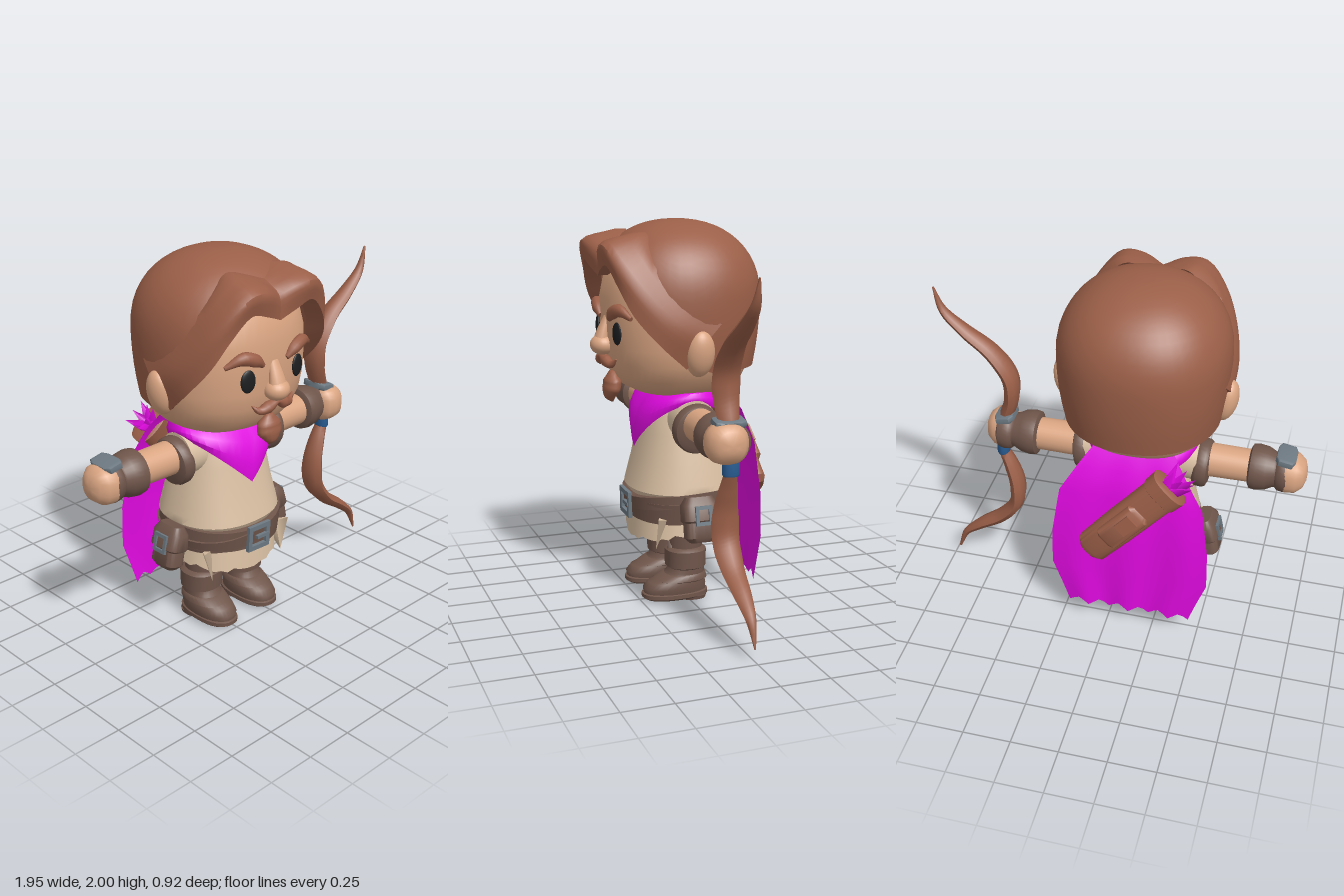
import * as THREE from 'three';
import { toCreasedNormals } from 'three/addons/utils/BufferGeometryUtils.js';

const V = (x, y, z) => new THREE.Vector3(x, y, z);
const mat = (name, color, side = THREE.FrontSide) => {
  const m = new THREE.MeshStandardMaterial({ color, side });
  m.name = name;
  return m;
};
const { sin, cos, abs, sign, pow, PI, max, min } = Math;

// Joins rings of points into a skin; rings run along T with points turning e1 -> e2, e1 x e2 = T
function loft(rings, { closed = true, caps = true, crease = 0.7 } = {}) {
  const n = rings[0].length, pos = [], idx = [];
  rings.flat().forEach(p => pos.push(p.x, p.y, p.z));
  for (let i = 0; i < rings.length - 1; i++)
    for (let j = 0; j < (closed ? n : n - 1); j++) {
      const a = i * n + j, b = i * n + (j + 1) % n;
      idx.push(a, b, b + n, a, b + n, a + n);
    }
  if (closed && caps) [0, rings.length - 1].forEach((r, k) => {
    const c = rings[r].reduce((s, p) => s.add(p), V(0, 0, 0)).divideScalar(n);
    const ci = pos.push(c.x, c.y, c.z) / 3 - 1;
    for (let j = 0; j < n; j++) {
      const a = r * n + j, b = r * n + (j + 1) % n;
      k ? idx.push(ci, a, b) : idx.push(ci, b, a);
    }
  });
  const g = new THREE.BufferGeometry();
  g.setAttribute('position', new THREE.Float32BufferAttribute(pos, 3));
  g.setIndex(idx);
  return toCreasedNormals(g, crease);
}

// Superellipse direction (x, z) at angle a from +z
const dir = (a, n) => [sign(sin(a)) * pow(abs(sin(a)), 2 / n), sign(cos(a)) * pow(abs(cos(a)), 2 / n)];

// Stack of horizontal rings: rows of [y, rx, rz, z offset]
function stack(rows, n = 2, seg = 32, opts) {
  return loft(rows.map(([y, rx, rz = rx, z0 = 0]) => Array.from({ length: seg }, (_, j) => {
    const [x, z] = dir(j / seg * 2 * PI, n);
    return V(x * rx, y, z * rz + z0);
  })), opts);
}

// Elliptical sweep along a curve; widths are [along ref, across ref] pairs spread over its length
function sweep(points, widths, ref, steps = 24, seg = 10) {
  const curve = new THREE.CatmullRomCurve3(points.map(p => V(...p)));
  const rings = [];
  for (let i = 0; i <= steps; i++) {
    const t = i / steps, T = curve.getTangent(t), f = t * (widths.length - 1);
    const k = min(widths.length - 2, Math.floor(f)), u = f - k;
    const [w1, w2] = [0, 1].map(q => widths[k][q] * (1 - u) + widths[k + 1][q] * u);
    const e1 = ref.clone().addScaledVector(T, -ref.dot(T)).normalize(), e2 = T.clone().cross(e1);
    rings.push(Array.from({ length: seg }, (_, j) => curve.getPoint(t)
      .addScaledVector(e1, w1 * cos(j / seg * 2 * PI)).addScaledVector(e2, w2 * sin(j / seg * 2 * PI))));
  }
  return loft(rings, { crease: 1 });
}

function add(parent, name, geo, material, p = [0, 0, 0], r = [0, 0, 0]) {
  const m = new THREE.Mesh(geo, material);
  m.name = name;
  m.position.set(...p);
  m.rotation.set(...r);
  parent.add(m);
}
const group = (parent, name) => {
  const g = new THREE.Group();
  g.name = name;
  parent.add(g);
  return g;
};
const ball = (x, y, z) => new THREE.SphereGeometry(1, 24, 16).scale(x, y, z);

function buckle(w, h, t) {
  const s = new THREE.Shape([[-w, -h], [w, -h], [w, h], [-w, h]].map(p => new THREE.Vector2(...p)));
  const k = t * 1.3;
  s.holes.push(new THREE.Path([[k - w, k - h], [k - w, h - k], [w - k, h - k], [w - k, k - h]].map(p => new THREE.Vector2(...p))));
  return new THREE.ExtrudeGeometry(s, { depth: t, bevelEnabled: false });
}

// Hair cap: dome whose lower edge rises over the face
function hairCap() {
  const seg = 48, steps = 18, rings = [];
  const R = y => y > 1.6 ? 0.434 * pow(max(0, 1 - pow((y - 1.6) / 0.4, 2.2)), 1 / 2.2) : 0.434 - 0.034 * pow((1.6 - y) / 0.35, 2);
  for (let i = steps; i >= -1; i--) {
    const s = max(0.04, (steps - max(i, 0)) / steps);
    rings.unshift(Array.from({ length: seg }, (_, j) => {
      const a = j / seg * 2 * PI, [x, z] = dir(a, 2.15);
      const low = 1.25 + 0.58 * THREE.MathUtils.smoothstep(cos(a), -0.1, 0.8);
      const y = 2 - (2 - low) * s * s, r = R(y) * (i < 0 ? 0.86 : 1);
      return V(x * r, y, z * r);
    }));
  }
  return loft(rings);
}

// Swept front lock: upper edge, bulge and lower edge at stations from parting to ear
function frontLock(s) {
  const curve = pts => new THREE.CatmullRomCurve3(pts.map(p => V(...p)));
  const U = curve([[0, 1.9, 0.31], [0.1, 1.93, 0.3], [0.19, 1.94, 0.27], [0.28, 1.87, 0.26], [0.36, 1.74, 0.2], [0.415, 1.6, 0.08], [0.425, 1.5, -0.09]]);
  const M = curve([[0, 1.84, 0.41], [0.1, 1.88, 0.445], [0.22, 1.88, 0.45], [0.33, 1.77, 0.395], [0.405, 1.63, 0.3], [0.445, 1.5, 0.17], [0.445, 1.41, 0]]);
  const L = curve([[0, 1.72, 0.42], [0.1, 1.76, 0.435], [0.2, 1.785, 0.435], [0.31, 1.68, 0.405], [0.38, 1.55, 0.35], [0.425, 1.41, 0.235], [0.415, 1.28, 0.09]]);
  const rings = [];
  for (let i = 0; i <= 24; i++) {
    const [u, m, l] = [U, M, L].map(c => c.getPoint(i / 24));
    const ring = new THREE.CatmullRomCurve3([u, m, l]).getPoints(8);
    const inward = p => V(p.x * 0.86, p.y, p.z * 0.8);
    ring.push(inward(l), inward(u));
    rings.push(s > 0 ? ring : ring.map(p => V(-p.x, p.y, p.z)).reverse());
  }
  return loft(rings);
}

export function createModel() {
  const root = new THREE.Group();
  root.name = 'archer';
  const skin = mat('skin', 0xdaa582), hair = mat('hair and wood', 0x9b5f48), leather = mat('leather', 0x6f554a);
  const cloth = mat('tunic cloth', 0xdac0a3, THREE.DoubleSide), cape = mat('cape cloth', 0xe20ae2, THREE.DoubleSide);
  const black = mat('eye black', 0x1c1e20), metal = mat('metal', 0x6d7982), blue = mat('grip blue', 0x2b6098);
  const body = group(root, 'body');
  body.position.x = -0.125;

  // Head and face
  const head = group(body, 'head');
  add(head, 'face', stack([[1.1, 0.15, 0.14], [1.115, 0.24, 0.22], [1.15, 0.31, 0.29], [1.2, 0.36, 0.335], [1.28, 0.395, 0.368],
    [1.36, 0.41, 0.382], [1.48, 0.415, 0.388], [1.6, 0.41, 0.388], [1.75, 0.37, 0.36], [1.88, 0.26, 0.26]], 2.3, 48, { crease: 1 }), skin);
  add(head, 'hairCap', hairCap(), hair);
  add(head, 'nose', ball(0.068, 0.055, 0.065), skin, [0, 1.365, 0.4]);
  add(head, 'noseBridge', sweep([[0, 1.37, 0.41], [0, 1.43, 0.4], [0, 1.51, 0.375]], [[0.045, 0.055], [0.03, 0.045], [0.015, 0.03]], V(0, 0, 1), 10), skin);
  add(head, 'moustache', sweep([[-0.14, 1.305, 0.37], [-0.1, 1.275, 0.385], [-0.05, 1.285, 0.395], [0, 1.305, 0.4], [0.05, 1.285, 0.395], [0.1, 1.275, 0.385], [0.14, 1.305, 0.37]],
    [[0.004, 0.003], [0.022, 0.02], [0.03, 0.032], [0.022, 0.014], [0.03, 0.032], [0.022, 0.02], [0.004, 0.003]], V(0, 0, 1), 36), hair);
  add(head, 'goatee', sweep([[0, 1.06, 0.35], [0, 1.1, 0.36], [0, 1.16, 0.35], [0, 1.225, 0.35]],
    [[0.004, 0.004], [0.032, 0.038], [0.045, 0.074], [0.045, 0.07], [0.015, 0.02]], V(0, 0, 1), 16, 16), hair);

  for (const s of [1, -1]) {
    add(head, 'frontLock', frontLock(s), hair);
    add(head, 'ear', ball(0.06, 0.12, 0.075), skin, [s * 0.415, 1.355, 0.02], [0, 0, -s * 0.2]);
    add(head, 'eye', ball(0.042, 0.058, 0.012), black, [s * 0.168, 1.44, 0.374], [0, s * 0.2, 0]);
    add(head, 'eyebrow', sweep([[s * 0.08, 1.505, 0.385], [s * 0.13, 1.54, 0.385], [s * 0.2, 1.56, 0.37], [s * 0.285, 1.525, 0.335]],
      [[0.014, 0.014], [0.03, 0.034], [0.03, 0.034], [0.01, 0.012]], V(0, 0, 1), 14), hair);

    // Arm, built along its own y axis and turned sideways
    const arm = group(body, s > 0 ? 'leftArm' : 'rightArm');
    arm.position.y = 0.98;
    arm.rotation.z = -s * PI / 2;
    add(arm, 'sleeve', stack([[0.08, 0.1], [0.2, 0.115], [0.3, 0.115]]), cloth);
    add(arm, 'armSkin', stack([[0.25, 0.09], [0.6, 0.085]]), skin);
    add(arm, 'shoulderBand', stack([[0.275, 0.1], [0.285, 0.12], [0.3, 0.128], [0.335, 0.128], [0.35, 0.12], [0.36, 0.095]]), leather, [0, 0, 0], [0, 0, -s * 0.08]);
    add(arm, 'bracer', stack([[0.56, 0.095], [0.57, 0.115], [0.6, 0.12], [0.65, 0.112], [0.69, 0.092], [0.7, 0.092], [0.715, 0.106], [0.745, 0.11], [0.775, 0.104], [0.785, 0.085]]), leather);
    add(arm, 'handPlate', stack([[-0.05, 0.015, 0.05], [-0.035, 0.02, 0.08], [0.035, 0.02, 0.08], [0.05, 0.015, 0.05]], 6, 16), metal, [-s * 0.095, 0.745, 0], [0, 0, -s * 0.2]);
    add(arm, 'fist', stack([[0.69, 0.07], [0.715, 0.097, 0.1], [0.76, 0.102, 0.108], [0.805, 0.097, 0.1], [0.84, 0.07, 0.07], [0.855, 0.03, 0.03]], 2.4, 24, { crease: 1 }),
      skin, [0, 0, s > 0 ? 0.02 : 0]);

    // Boot and leg
    const leg = group(body, s > 0 ? 'leftLeg' : 'rightLeg');
    leg.position.x = s * 0.147;
    add(leg, 'trouserLeg', stack([[0.26, 0.082, 0.09], [0.45, 0.09, 0.095]]), leather);
    add(leg, 'sole', stack([[0.01, 0.09, 0.165, 0.06], [0.02, 0.1, 0.18, 0.06], [0.04, 0.1, 0.18, 0.06], [0.045, 0.09, 0.17, 0.06]], 2.4), leather);
    add(leg, 'heel', stack([[0, 0.085, 0.075, -0.03], [0.02, 0.09, 0.08, -0.03]], 2.6), leather);
    add(leg, 'boot', stack([[0.04, 0.093, 0.17, 0.06], [0.07, 0.1, 0.172, 0.062], [0.1, 0.098, 0.155, 0.05], [0.125, 0.092, 0.12, 0.018], [0.15, 0.092, 0.1, 0], [0.2, 0.092, 0.095, 0]], 2.3, 32, { crease: 1 }), leather);
    add(leg, 'ankleStrap', stack([[0.1, 0.09, 0.12, 0.025], [0.11, 0.104, 0.145, 0.03], [0.135, 0.1, 0.12, 0.012], [0.145, 0.09, 0.1, 0]], 2.3), leather);
    add(leg, 'bootCuff', stack([[0.17, 0.09], [0.18, 0.106], [0.27, 0.108], [0.285, 0.09]], 2.3), leather);
    add(leg, 'bootTongue', new THREE.ConeGeometry(0.04, 0.11, 4).scale(1, 1, 0.5), leather, [0, 0.32, 0.085]);

    // Hip pouch
    const pouch = group(body, s > 0 ? 'leftPouch' : 'rightPouch');
    pouch.position.set(s * 0.365, 0.485, 0);
    pouch.rotation.z = s * 0.2;
    add(pouch, 'pouchBag', stack([[-0.115, 0.035, 0.06], [-0.09, 0.055, 0.085], [0.07, 0.055, 0.085], [0.1, 0.04, 0.07]], 3.5), leather);
    add(pouch, 'pouchFlap', stack([[-0.01, 0.058, 0.09], [0.0, 0.067, 0.097], [0.08, 0.06, 0.094], [0.12, 0.035, 0.07]], 3.5), leather);
    add(pouch, 'pouchBuckle', buckle(0.045, 0.05, 0.014), metal, [s * 0.06, 0.025, 0], [0, s * PI / 2, 0]);
  }

  // Tunic with ragged skirt
  add(body, 'tunic', stack([[0.57, 0.295, 0.27, -0.02], [0.6, 0.312, 0.288, -0.02], [0.64, 0.305, 0.278, -0.02], [0.75, 0.28, 0.25, -0.02],
    [0.9, 0.25, 0.21, -0.01], [1.0, 0.225, 0.18], [1.08, 0.2, 0.15], [1.14, 0.1, 0.1]], 2.3, 40), cloth);
  const rag = [0, 0.01, 0.002, 0.022, 0.012, 0.005];
  add(body, 'skirt', loft([0, 1, 2].map(i => Array.from({ length: 48 }, (_, j) => {
    const a = j / 48 * 2 * PI, [x, z] = dir(a, 2.4);
    const y = [0.325 + rag[j % 6] + 0.04 * sin(a) ** 2 + 0.02 * max(0, -cos(a)), 0.45, 0.6][i];
    return V(x * [0.295, 0.285, 0.27][i], y, z * [0.275, 0.265, 0.25][i] - 0.02);
  })), { caps: false }), cloth);
  for (const s of [1, -1])
    add(body, 'hipRag', new THREE.ConeGeometry(0.07, 0.17, 4).scale(1, 1, 0.35), cloth, [s * 0.25, 0.39, 0.18], [PI - 0.25, s * 0.7, 0]);

  // Belts and buckle
  const belt = stack([[-0.062, 0.29, 0.27], [-0.055, 0.312, 0.288], [0.055, 0.318, 0.292], [0.062, 0.29, 0.27]], 2.3, 40);
  add(body, 'belt', belt, leather, [0, 0.52, -0.015], [0.04, 0, -0.06]);
  add(body, 'crossBelt', belt.clone().scale(1.015, 0.6, 1.015), leather, [0, 0.535, -0.015], [0.05, 0, 0.12]);
  add(body, 'buckle', buckle(0.075, 0.07, 0.02), metal, [0, 0.513, 0.272], [0.03, 0, -0.04]);
  add(body, 'bucklePin', new THREE.BoxGeometry(0.085, 0.018, 0.018), metal, [0.025, 0.513, 0.288]);

  // Neckerchief with a pointed front, sloping in to the neck
  add(body, 'neckerchief', loft([0, 0.33, 0.66, 1, 2].map(i => Array.from({ length: 48 }, (_, j) => {
    const a = j / 48 * 2 * PI, k = min(i, 1), front = cos(a) > 0;
    const low = 1.075 - (front ? 0.265 * (1 - abs(sin(a))) : 0.07 * -cos(a)), bulge = sin(k * PI);
    if (i === 2) return V(sin(a) * 0.18, 1.15, cos(a) * 0.1);
    return V(sin(a) * (0.285 + bulge * 0.015), low + (1.13 - low) * k, cos(a) * (front ? 0.235 - 0.09 * k + bulge * 0.045 : 0.255 - 0.07 * k + bulge * 0.02));
  })), { caps: false }), cape);

  // Cape, rows of [y, half width, z] from hem to collar
  const capeRows = [[0.13, 0.33, -0.328], [0.24, 0.37, -0.328], [0.38, 0.42, -0.325], [0.6, 0.415, -0.322], [0.87, 0.375, -0.3], [1.03, 0.28, -0.265], [1.14, 0.2, -0.2]];
  add(body, 'cape', loft(capeRows.map(([y, w, z], i) => Array.from({ length: 25 }, (_, j) => {
    const u = 1 - j / 12, hem = i ? 0 : 0.022 * [-0.7, 0.2, 1, 0.4][j % 4];
    return V(u * w, y + hem, z - 0.01 * cos(u * 9) * (1 - i / 6));
  })), { closed: false }), cape);

  // Quiver across the back with arrow feathers
  const quiver = group(body, 'quiver');
  quiver.position.set(-0.025, 0.82, -0.355);
  quiver.rotation.set(0.15, 0, 0.74);
  add(quiver, 'quiverCase', stack([[-0.33, 0.055, 0.035], [-0.3, 0.088, 0.05], [-0.1, 0.094, 0.055], [0.24, 0.095, 0.06]], 3, 24), hair);
  add(quiver, 'quiverRim', stack([[0.19, 0.09, 0.055], [0.2, 0.105, 0.068], [0.275, 0.11, 0.072], [0.285, 0.085, 0.055]], 2.6, 24), hair);
  add(quiver, 'quiverPocket', stack([[-0.19, 0.045, 0.02], [-0.17, 0.068, 0.035], [0.06, 0.068, 0.035], [0.08, 0.045, 0.02]], 4, 24), hair, [0, 0, -0.042]);
  add(quiver, 'pocketPanel', new THREE.BoxGeometry(0.075, 0.1, 0.025), hair, [0, -0.02, -0.075]);
  for (let i = 0; i < 8; i++) {
    const a = i * PI / 4, r = i % 2 ? 0.06 : 0.035;
    add(quiver, 'feather', new THREE.ConeGeometry(0.038, 0.13, 3), cape, [sin(a) * r, 0.325, cos(a) * r * 0.7], [cos(a) * 0.5, 0, -sin(a) * 0.5]);
  }

  // Bow: two recurved limbs and a wrapped grip
  const bow = group(root, 'bow');
  const taper = [[0.004, 0.006], [0.03, 0.022], [0.052, 0.032], [0.07, 0.038], [0.074, 0.04], [0.055, 0.036], [0.035, 0.028]];
  add(bow, 'upperLimb', sweep([[0.965, 1.795, 0], [0.925, 1.67, 0], [0.82, 1.565, 0], [0.68, 1.455, 0], [0.59, 1.32, 0], [0.585, 1.19, 0], [0.63, 1.04, 0], [0.65, 0.88, 0]], taper, V(0, 0, 1), 40, 8), hair);
  add(bow, 'lowerLimb', sweep([[0.965, 0.06, 0], [0.915, 0.18, 0], [0.82, 0.265, 0], [0.68, 0.365, 0], [0.595, 0.48, 0], [0.585, 0.62, 0], [0.615, 0.74, 0], [0.65, 0.83, 0]], taper, V(0, 0, 1), 40, 8), hair);
  add(bow, 'grip', stack([[0.82, 0.03, 0.04], [0.83, 0.034, 0.044], [0.9, 0.034, 0.044]], 2, 16), blue, [0.65, 0, 0]);
  return root;
}
